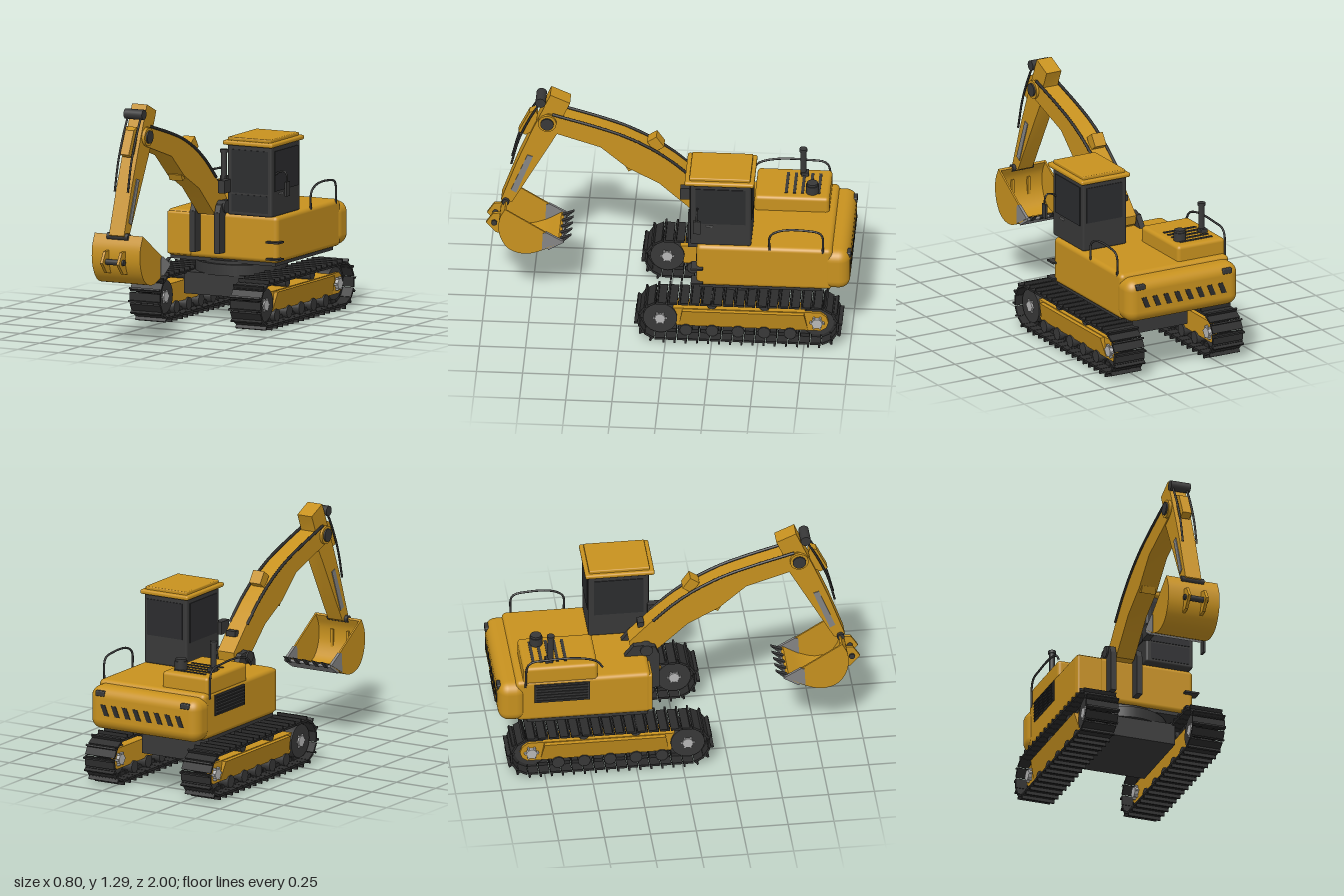
import * as THREE from 'three';
import { toCreasedNormals } from 'three/addons/utils/BufferGeometryUtils.js';
import { RoundedBoxGeometry } from 'three/addons/geometries/RoundedBoxGeometry.js';

const paint = (name, color, side = THREE.FrontSide) => {
  const m = new THREE.MeshStandardMaterial({ color, side });
  m.name = name;
  return m;
};

export function createModel() {
  const model = new THREE.Group();
  model.name = 'excavator';
  const yellow = paint('yellow paint', 0xc8921f);
  const dark = paint('dark grey', 0x383838);
  const rubber = paint('track black', 0x2c2c2c);
  const glass = paint('tinted glass', 0x2b2c2e);
  const steel = paint('bare steel', 0x858585);
  const hub = paint('light hub', 0xb8b8b8);

  // Helpers
  const group = (name) => {
    const g = new THREE.Group();
    g.name = name;
    model.add(g);
    return g;
  };
  const add = (parent, name, geo, mat, x = 0, y = 0, z = 0) => {
    const m = new THREE.Mesh(geo, mat);
    m.name = name;
    m.position.set(x, y, z);
    parent.add(m);
    return m;
  };
  // Box given by its limits, optionally with rounded edges
  const block = (parent, name, mat, [x0, x1], [y0, y1], [z0, z1], r = 0) => {
    const s = [x1 - x0, y1 - y0, z1 - z0];
    const geo = r ? new RoundedBoxGeometry(...s, 4, r) : new THREE.BoxGeometry(...s);
    return add(parent, name, geo, mat, (x0 + x1) / 2, (y0 + y1) / 2, (z0 + z1) / 2);
  };
  // Side profile of [z, y] points, extruded from x0 to x1
  const profile = (parent, name, mat, pts, x0, x1) => {
    const shape = new THREE.Shape(pts.map((p) => new THREE.Vector2(...p)));
    const geo = new THREE.ExtrudeGeometry(shape, { depth: x1 - x0, bevelEnabled: false });
    geo.rotateY(-Math.PI / 2).translate(x1, 0, 0);
    return add(parent, name, toCreasedNormals(geo, 0.5), mat);
  };
  const axle = (parent, name, mat, r, x0, x1, y, z, sides = 24) => {
    const geo = new THREE.CylinderGeometry(r, r, x1 - x0, sides).rotateZ(Math.PI / 2);
    return add(parent, name, geo, mat, (x0 + x1) / 2, y, z);
  };
  const post = (parent, name, mat, r, y0, y1, x, z, sides = 24) =>
    add(parent, name, new THREE.CylinderGeometry(r, r, y1 - y0, sides), mat, x, (y0 + y1) / 2, z);
  const tube = (parent, name, mat, pts, r) => {
    const curve = new THREE.CatmullRomCurve3(pts.map((p) => new THREE.Vector3(...p)));
    return add(parent, name, new THREE.TubeGeometry(curve, 32, r, 8), mat);
  };

  // Tracks
  const zFront = 0.03, zRear = -0.82, yAxle = 0.14, rTrack = 0.113;
  const straight = zFront - zRear, arc = Math.PI * rTrack;
  const trackPoint = (s) => {
    if (s < straight) return [zRear + s, yAxle + rTrack, 0];
    s -= straight;
    if (s < arc) {
      const a = s / rTrack;
      return [zFront + rTrack * Math.sin(a), yAxle + rTrack * Math.cos(a), a];
    }
    s -= arc;
    if (s < straight) return [zFront - s, yAxle - rTrack, Math.PI];
    const a = Math.PI + (s - straight) / rTrack;
    return [zRear + rTrack * Math.sin(a), yAxle + rTrack * Math.cos(a), a];
  };
  const shoeCount = 40;
  for (const side of [1, -1]) {
    const track = group(side > 0 ? 'leftTrack' : 'rightTrack');
    const cx = side * 0.307;
    for (let i = 0; i < shoeCount; i++) {
      const [z, y, a] = trackPoint((i / shoeCount) * 2 * (straight + arc));
      const shoe = new THREE.Group();
      shoe.name = 'trackShoe';
      shoe.position.set(cx, y, z);
      shoe.rotation.x = a;
      track.add(shoe);
      add(shoe, 'plate', new THREE.BoxGeometry(0.186, 0.012, 0.056), rubber);
      add(shoe, 'grouser', new THREE.BoxGeometry(0.186, 0.022, 0.01), rubber, 0, 0.014, 0.02);
      add(shoe, 'chainLink', new THREE.BoxGeometry(0.06, 0.022, 0.05), rubber, 0, -0.015, 0);
    }
    // Frame between the wheels, its outer panel leaning inwards at the bottom
    profile(track, 'trackFrame', yellow, [[-0.06, 0.09], [-0.02, 0.2], [-0.84, 0.2], [-0.87, 0.175],
      [-0.882, 0.14], [-0.87, 0.105], [-0.84, 0.085]], cx - 0.05, cx + 0.05);
    const panel = new THREE.BoxGeometry(0.03, 0.105, 0.66);
    const p = panel.attributes.position;
    for (let i = 0; i < p.count; i++) {
      if (p.getY(i) < 0) {
        p.setZ(i, p.getZ(i) * 1.06);
        if (p.getX(i) * side > 0) p.setX(i, side * -0.01);
      }
    }
    panel.computeVertexNormals();
    add(track, 'framePanel', panel, yellow, cx + side * 0.06, 0.143, -0.42);
    axle(track, 'driveWheel', dark, 0.092, cx - 0.06, cx + 0.06, yAxle, zFront, 32);
    axle(track, 'idlerWheel', dark, 0.09, cx - 0.035, cx + 0.035, yAxle, zRear, 32);
    for (const z of [zFront, zRear]) {
      axle(track, 'hubCap', hub, 0.029, cx - 0.07, cx + 0.07, yAxle, z, 16);
      for (let k = 0; k < 6; k++) {
        const a = (k * Math.PI) / 3;
        axle(track, 'hubBolt', hub, 0.006, cx - 0.068, cx + 0.068,
          yAxle + 0.034 * Math.sin(a), z + 0.034 * Math.cos(a), 6);
      }
    }
    for (let k = 0; k < 5; k++) axle(track, 'lowerRoller', dark, 0.034, cx - 0.06, cx + 0.06, 0.066, -0.11 - k * 0.141, 16);
    for (const z of [-0.25, -0.535]) axle(track, 'upperRoller', dark, 0.028, cx - 0.05, cx + 0.05, 0.228, z, 16);
  }

  // Undercarriage and turntable
  const under = group('undercarriage');
  block(under, 'crossFrame', dark, [-0.23, 0.23], [0.135, 0.255], [-0.63, -0.16]);
  post(under, 'turntable', dark, 0.25, 0.25, 0.312, 0, -0.39, 40);
  post(under, 'slewRing', dark, 0.23, 0.3, 0.33, 0, -0.39, 40);

  // Upper body
  const body = group('upperBody');
  block(body, 'basePlate', dark, [-0.325, 0.32], [0.318, 0.338], [-0.84, -0.18]);
  block(body, 'mainHousing', yellow, [-0.338, 0.338], [0.335, 0.592], [-0.9, -0.165], 0.025);
  block(body, 'counterweight', yellow, [-0.35, 0.345], [0.335, 0.575], [-0.995, -0.84], 0.06);
  block(body, 'engineHood', yellow, [-0.335, -0.04], [0.57, 0.678], [-0.86, -0.455], 0.02);
  block(body, 'toolBox', yellow, [-0.335, -0.19], [0.345, 0.58], [-0.19, -0.155], 0.012);
  for (let i = 0; i < 5; i++) {
    const z = -0.8 + i * 0.044;
    block(body, 'hoodSlot', dark, [-0.285, -0.085], [0.675, 0.682], [z - 0.008, z + 0.008]);
  }
  block(body, 'sideGrille', dark, [-0.345, -0.335], [0.455, 0.57], [-0.8, -0.5]);
  for (let i = 0; i < 6; i++) block(body, 'grilleSlat', rubber, [-0.35, -0.344], [0.463 + i * 0.018, 0.471 + i * 0.018], [-0.79, -0.51]);
  block(body, 'exhaustBase', dark, [-0.295, -0.255], [0.675, 0.7], [-0.735, -0.695]);
  post(body, 'exhaustPipe', dark, 0.016, 0.68, 0.835, -0.275, -0.705);
  post(body, 'exhaustCap', dark, 0.021, 0.828, 0.845, -0.275, -0.705);
  post(body, 'airFilter', dark, 0.035, 0.675, 0.725, -0.105, -0.765);
  post(body, 'airFilterCap', dark, 0.03, 0.725, 0.738, -0.105, -0.765);
  // Warning stripes and rear lamps
  for (let i = 0; i < 8; i++) {
    const x = -0.25 + i * 0.068;
    const stripe = new THREE.Shape([[0, 0], [0.03, 0], [0.055, 0.06], [0.025, 0.06]].map((q) => new THREE.Vector2(...q)));
    const geo = new THREE.ExtrudeGeometry(stripe, { depth: 0.004, bevelEnabled: false });
    add(body, 'warningStripe', geo, rubber, x - 0.015, 0.42, -0.998);
  }
  for (const x of [-0.27, 0.27]) block(body, 'rearLamp', dark, [x - 0.028, x + 0.028], [0.525, 0.555], [-1, -0.965], 0.006);
  // Handrails and steps
  tube(body, 'rightHandrail', dark, [[-0.34, 0.66, -0.43], [-0.34, 0.7, -0.46], [-0.34, 0.728, -0.55],
    [-0.34, 0.73, -0.72], [-0.34, 0.71, -0.83], [-0.34, 0.56, -0.85]], 0.006);
  tube(body, 'leftHandrail', dark, [[0.333, 0.58, -0.56], [0.333, 0.67, -0.565], [0.333, 0.705, -0.62],
    [0.333, 0.712, -0.75], [0.333, 0.69, -0.84], [0.333, 0.57, -0.85]], 0.006);
  for (const y of [0.36, 0.452]) block(body, 'step', dark, [0.28, 0.36], [y - 0.005, y + 0.005], [-0.2, -0.135]);

  // Cab
  const cab = group('cab');
  block(cab, 'cabShell', dark, [0.05, 0.322], [0.59, 0.985], [-0.46, -0.13], 0.012);
  block(cab, 'roof', yellow, [0.035, 0.34], [0.975, 1.0], [-0.477, -0.1], 0.01);
  block(cab, 'roofPanel', yellow, [0.055, 0.318], [0.995, 1.017], [-0.455, -0.125], 0.006);
  block(cab, 'windscreen', glass, [0.078, 0.3], [0.715, 0.95], [-0.132, -0.126]);
  block(cab, 'lowerFrontPanel', glass, [0.078, 0.3], [0.61, 0.705], [-0.132, -0.127]);
  block(cab, 'rearWindow', glass, [0.078, 0.3], [0.75, 0.95], [-0.464, -0.458]);
  for (const x of [0.05, 0.322]) block(cab, 'sideWindow', glass, [x - 0.004, x + 0.004], [0.73, 0.95], [-0.43, -0.16]);
  block(cab, 'doorHandle', steel, [0.322, 0.329], [0.708, 0.716], [-0.255, -0.215]);
  block(cab, 'frontLamp', dark, [0.03, 0.07], [0.715, 0.785], [-0.14, -0.06]);
  tube(cab, 'mirrorArm', dark, [[0.315, 0.815, -0.17], [0.345, 0.838, -0.17], [0.38, 0.843, -0.17], [0.394, 0.82, -0.17], [0.395, 0.78, -0.17]], 0.005);
  block(cab, 'mirror', dark, [0.389, 0.401], [0.71, 0.79], [-0.19, -0.15]);

  // Boom, with its foot held between two brackets
  const arm = group('boomAndStick');
  const xa = -0.073;
  for (const x of [xa - 0.075, xa + 0.075]) {
    block(arm, 'boomBracket', dark, [x - 0.016, x + 0.016], [0.375, 0.6], [-0.2, -0.1]);
    profile(arm, 'bracketEar', dark, [[-0.1, 0.59], [-0.12, 0.64], [-0.17, 0.658], [-0.24, 0.655], [-0.29, 0.59]], x - 0.016, x + 0.016);
  }
  axle(arm, 'footPin', dark, 0.034, xa - 0.1, xa + 0.1, 0.625, -0.17);
  profile(arm, 'boom', yellow, [[-0.125, 0.583], [-0.03, 0.67], [0.06, 0.754], [0.23, 0.845], [0.377, 0.973], [0.665, 1.066],
    [0.7, 1.09], [0.715, 1.12], [0.7, 1.155], [0.66, 1.176], [0.4, 1.1], [0.25, 1.048], [0.1, 0.973], [-0.02, 0.888],
    [-0.115, 0.807], [-0.26, 0.66], [-0.25, 0.61], [-0.2, 0.575]], xa - 0.052, xa + 0.052);
  const lug = block(arm, 'boomLug', yellow, [xa - 0.035, xa + 0.035], [0.955, 1.03], [0.05, 0.11]);
  lug.rotation.x = 0.6;
  const pad = block(arm, 'boomUnderPad', yellow, [xa - 0.04, xa + 0.04], [0.83, 0.87], [0.17, 0.24]);
  pad.rotation.x = 0.5;
  block(arm, 'boomClamp', dark, [xa - 0.028, xa + 0.028], [0.735, 0.765], [-0.21, -0.175]);
  for (const s of [1, -1]) {
    tube(arm, 'boomHose', rubber, [[xa + s * 0.055, 0.79, -0.13], [xa + s * 0.055, 0.89, -0.02], [xa + s * 0.055, 0.975, 0.1],
      [xa + s * 0.055, 1.052, 0.25], [xa + s * 0.055, 1.105, 0.4], [xa + s * 0.055, 1.175, 0.64]], 0.008);
    tube(arm, 'stickHose', rubber, [[xa + s * 0.04, 1.24, 0.705], [xa + s * 0.04, 1.13, 0.765],
      [xa + s * 0.04, 1.0, 0.82], [xa + s * 0.04, 0.84, 0.862]], 0.006);
    // Cheek plates and polished strips on the stick sides
    axle(arm, 'tipCheek', yellow, 0.05, xa + s * 0.058 - 0.008, xa + s * 0.058 + 0.008, 1.12, 0.666);
    profile(arm, 'cylinderRod', steel, [[0.742, 0.895], [0.772, 0.905], [0.862, 0.675], [0.832, 0.66]].map(([z, y]) => [z + 0.002, y]),
      xa + s * 0.045 - 0.005, xa + s * 0.045 + 0.005);
  }
  axle(arm, 'tipPin', dark, 0.036, xa - 0.075, xa + 0.075, 1.12, 0.666);

  // Stick
  profile(arm, 'stick', yellow, [[0.543, 1.246], [0.58, 1.16], [0.6, 1.07], [0.855, 0.6], [0.885, 0.585], [0.917, 0.61],
    [0.83, 0.86], [0.75, 1.06], [0.69, 1.2], [0.65, 1.294]], xa - 0.046, xa + 0.046);
  axle(arm, 'stickTopPin', dark, 0.028, xa - 0.056, xa + 0.056, 1.245, 0.703);
  profile(arm, 'bucketCylinder', yellow, [[0.72, 1.15], [0.73, 1.18], [0.765, 1.165], [0.825, 1.04], [0.785, 1.02], [0.74, 1.05]], xa - 0.026, xa + 0.026);
  axle(arm, 'bucketPin', dark, 0.02, xa - 0.065, xa + 0.065, 0.602, 0.892);

  // Bucket: curved shell, two side plates, cutting edge and teeth
  const bucket = group('bucket');
  const bx0 = -0.22, bx1 = 0.075;
  const back = new THREE.CatmullRomCurve3([[0.89, 0.612], [0.921, 0.54], [0.917, 0.44], [0.867, 0.358], [0.783, 0.331],
    [0.69, 0.356], [0.585, 0.418]].map(([z, y]) => new THREE.Vector3(z, y, 0))).getPoints(28);
  const outer = back.map((v) => [v.x, v.y]);
  const inner = outer.map(([z, y]) => [z + (0.77 - z) * 0.08, y + (0.5 - y) * 0.08]).reverse();
  profile(bucket, 'bucketShell', yellow, [...outer, ...inner], bx0, bx1);
  const sideEdge = outer.filter(([z], i) => i < 14 || z > 0.69);
  for (const x of [bx0, bx1 - 0.01]) {
    profile(bucket, 'bucketSide', yellow, [...sideEdge, [0.687, 0.36], [0.666, 0.47]], x, x + 0.01);
    profile(bucket, 'sideCutter', steel, [[0.69, 0.36], [0.684, 0.468], [0.666, 0.473], [0.578, 0.422]], x - 0.003, x + 0.013);
  }
  profile(bucket, 'cuttingEdge', steel, [[0.575, 0.425], [0.66, 0.372], [0.655, 0.36], [0.57, 0.412]], bx0, bx1);
  for (let i = 0; i < 5; i++) {
    const x = bx0 + 0.03 + i * 0.059;
    profile(bucket, 'tooth', dark, [[0.53, 0.448], [0.6, 0.42], [0.61, 0.4], [0.575, 0.405]], x - 0.011, x + 0.011);
  }
  // Link ears behind the bucket
  for (const x of [xa - 0.05, xa + 0.05]) {
    profile(bucket, 'linkEar', yellow, [[0.9, 0.4], [0.945, 0.405], [0.998, 0.465], [0.96, 0.525], [0.9, 0.53]], x - 0.008, x + 0.008);
  }
  axle(bucket, 'linkPin', dark, 0.016, xa - 0.068, xa + 0.068, 0.469, 0.953);

  return model;
}
